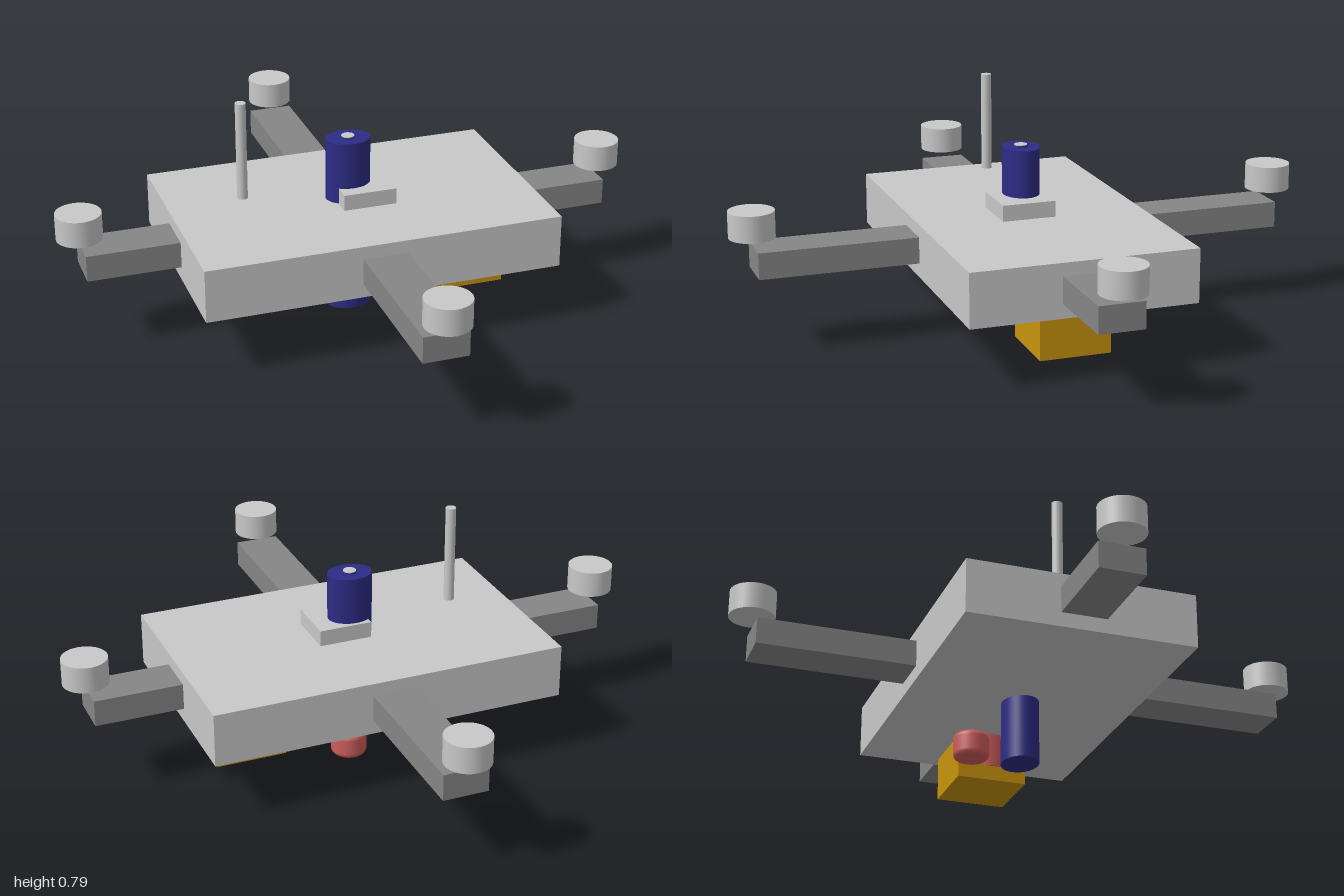
import * as THREE from 'three';

const mat = (name, color) => {
  const m = new THREE.MeshStandardMaterial({ color });
  m.name = name;
  return m;
};

export function createModel() {
  const lightGrey = mat('light grey', 0xc8c8c8);
  const darkGrey = mat('dark grey', 0x868686);
  const navy = mat('navy blue', 0x2c2c86);
  const amber = mat('amber', 0xc8940e);
  const coral = mat('coral red', 0xcd5c5c);

  const model = new THREE.Group();
  model.name = 'quadcopter';

  const add = (name, geometry, material, x, y, z) => {
    const mesh = new THREE.Mesh(geometry, material);
    mesh.name = name;
    mesh.position.set(x, y, z);
    model.add(mesh);
    return mesh;
  };
  // Box given by its extents along each axis
  const box = (name, material, [x0, x1], [y0, y1], [z0, z1]) =>
    add(name, new THREE.BoxGeometry(x1 - x0, y1 - y0, z1 - z0), material,
      (x0 + x1) / 2, (y0 + y1) / 2, (z0 + z1) / 2);
  // Upright cylinder between two heights
  const post = (name, material, r, x, [y0, y1], z, sides = 40) =>
    add(name, new THREE.CylinderGeometry(r, r, y1 - y0, sides), material, x, (y0 + y1) / 2, z);

  // Main deck
  box('body', lightGrey, [-0.605, 0.62], [0.217, 0.4], [-0.387, 0.382]);

  // Four arms, each with a motor hovering above its tip
  for (const [dx, dz, side] of [[1, 0, 'left'], [-1, 0, 'right'], [0, 1, 'front'], [0, -1, 'back']]) {
    const arm = add(`${side}Arm`, new THREE.BoxGeometry(0.62, 0.09, 0.154), darkGrey,
      dx * 0.61, 0.311, dz * 0.61);
    if (dz) arm.rotation.y = Math.PI / 2;
    post(`${side}Motor`, lightGrey, 0.077, dx * 0.923, [0.39, 0.48], dz * 0.923);
  }

  // Raised plate and antenna on the deck
  box('topPlate', lightGrey, [-0.048, 0.136], [0.4, 0.455], [-0.075, 0.109]);
  post('antenna', lightGrey, 0.018, -0.37, [0.45, 0.79], 0, 20);

  // Oval central column with a small capped tip
  const column = post('column', navy, 0.077, 0, [0, 0.617], 0);
  column.scale.z = 0.81;
  post('columnTip', navy, 0.024, 0, [0.615, 0.622], 0, 24);
  post('columnTipCap', lightGrey, 0.022, 0, [0.622, 0.625], 0, 24);

  // Underslung box and its round mount
  box('payloadBox', amber, [0.284, 0.526], [0.048, 0.2], [-0.124, 0.118]);
  post('payloadMount', coral, 0.093, 0.371, [0.1, 0.218], 0);

  // Round-edged sensor pod
  const profile = [new THREE.Vector2(0, -0.045)];
  const bevel = 0.02;
  for (const [cy, start] of [[-0.045 + bevel, -Math.PI / 2], [0.045 - bevel, 0]]) {
    for (let i = 0; i <= 6; i++) {
      const a = start + (i / 6) * Math.PI / 2;
      profile.push(new THREE.Vector2(0.061 - bevel + bevel * Math.cos(a), cy + bevel * Math.sin(a)));
    }
  }
  profile.push(new THREE.Vector2(0, 0.045));
  add('sensorPod', new THREE.LatheGeometry(profile, 32), coral, 0.065, 0.065, -0.149);

  return model;
}
